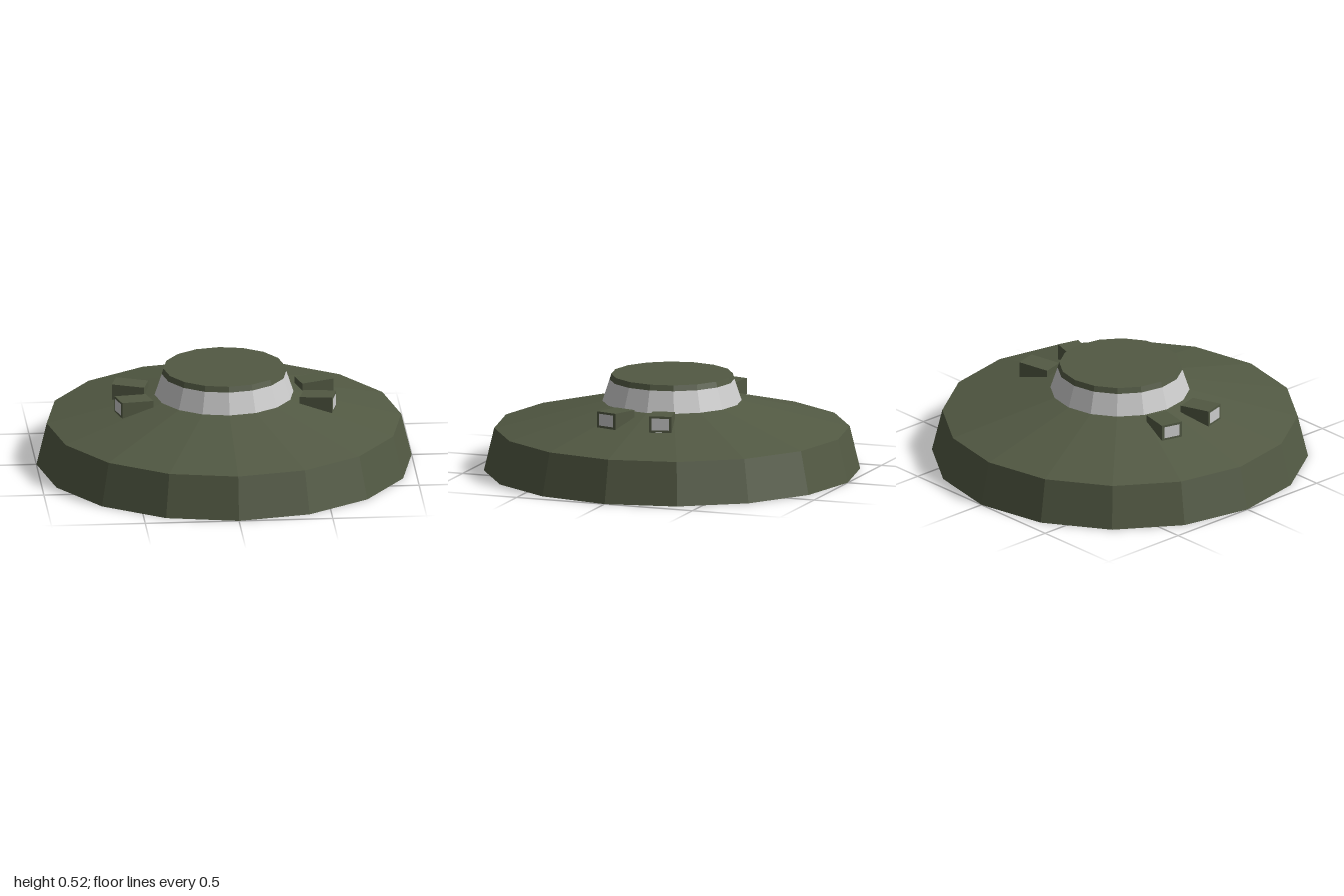
import * as THREE from 'three';
import { mergeGeometries } from 'three/addons/utils/BufferGeometryUtils.js';

const SIDES = 16, STEP = Math.PI * 2 / SIDES;
const TILT = Math.PI / 12;
const VENT_ANGLES = [TILT, -TILT, Math.PI - TILT, Math.PI + TILT];
const ROOF = { inner: 0.37, outer: 0.945, top: 0.375, bottom: 0.23 };
const VENT = { inner: 0.42, outer: 0.595, width: 0.12 };

const material = (color) => new THREE.MeshStandardMaterial({ color, flatShading: true, side: THREE.DoubleSide });

function named(name, geometry, mat) {
  const mesh = new THREE.Mesh(geometry, mat);
  mesh.name = name;
  return mesh;
}

// Open tapered band with 16 flat sides
function band(rTop, yTop, rBottom, yBottom) {
  return new THREE.CylinderGeometry(rTop, rBottom, yTop - yBottom, SIDES, 1, true)
    .translate(0, (yTop + yBottom) / 2, 0);
}

// Sloping roof: one trapezoid per side, with openings under the vents
function roofGeometry() {
  const facets = [];
  const a0 = ROOF.inner * Math.cos(STEP / 2), b0 = ROOF.inner * Math.sin(STEP / 2);
  const a1 = ROOF.outer * Math.cos(STEP / 2), b1 = ROOF.outer * Math.sin(STEP / 2);
  for (let i = 0; i < SIDES; i++) {
    const phi = (i + 0.5) * STEP;
    const shape = new THREE.Shape([[a0, -b0], [a1, -b1], [a1, b1], [a0, b0]].map((p) => new THREE.Vector2(...p)));
    for (const angle of VENT_ANGLES) {
      const d = Math.atan2(Math.sin(angle - phi), Math.cos(angle - phi));
      if (Math.abs(d) > STEP / 2) continue;
      const w = 0.053, r0 = VENT.inner + 0.004, r1 = VENT.outer - 0.004;
      const corners = [[r0, -w], [r0, w], [r1, w], [r1, -w]];
      shape.holes.push(new THREE.Path(corners.map((p) => new THREE.Vector2(...p).rotateAround(new THREE.Vector2(), d))));
    }
    const facet = new THREE.ShapeGeometry(shape).rotateX(-Math.PI / 2);
    const pos = facet.attributes.position;
    for (let k = 0; k < pos.count; k++) {
      const t = (pos.getX(k) - a0) / (a1 - a0);
      pos.setY(k, THREE.MathUtils.lerp(ROOF.top, ROOF.bottom, t));
    }
    facets.push(facet.rotateY(phi));
  }
  const roof = mergeGeometries(facets);
  roof.computeVertexNormals();
  return roof;
}

// Wedge-shaped vent hood, open underneath
function hoodGeometry() {
  const hood = new THREE.BoxGeometry(1, 1, VENT.width);
  const pos = hood.attributes.position;
  for (let i = 0; i < pos.count; i++) {
    const outer = pos.getX(i) > 0, top = pos.getY(i) > 0;
    pos.setX(i, outer ? VENT.outer : VENT.inner);
    pos.setY(i, top ? (outer ? 0.405 : 0.397) : (outer ? 0.318 : 0.358));
  }
  const index = Array.from(hood.index.array);
  index.splice(18, 6); // remove the bottom face
  hood.setIndex(index);
  hood.clearGroups();
  hood.computeVertexNormals();
  return hood;
}

export function createModel() {
  const model = new THREE.Group();
  model.name = 'domedHatch';
  const green = material(0x525943);
  const grey = material(0xcccccc);

  // Hollow body
  model.add(named('outerWall', band(ROOF.outer, ROOF.bottom, 1, 0), green));
  model.add(named('roof', roofGeometry(), green));

  // Raised collar and lid
  model.add(named('collar', band(0.332, 0.49, ROOF.inner, ROOF.top), grey));
  model.add(named('lidRim', band(0.323, 0.52, 0.332, 0.49), green));
  const lid = new THREE.CircleGeometry(0.323, SIDES).rotateX(-Math.PI / 2).translate(0, 0.52, 0);
  model.add(named('lid', lid, green));

  // Four vents, splayed in pairs on each side
  const hood = hoodGeometry();
  const panel = new THREE.PlaneGeometry(0.092, 0.064).rotateY(Math.PI / 2).translate(VENT.outer + 0.002, 0.362, 0);
  for (const angle of VENT_ANGLES) {
    const vent = new THREE.Group();
    vent.name = 'vent';
    vent.add(named('ventHood', hood, green), named('ventPanel', panel, grey));
    vent.rotation.y = angle;
    model.add(vent);
  }
  return model;
}
